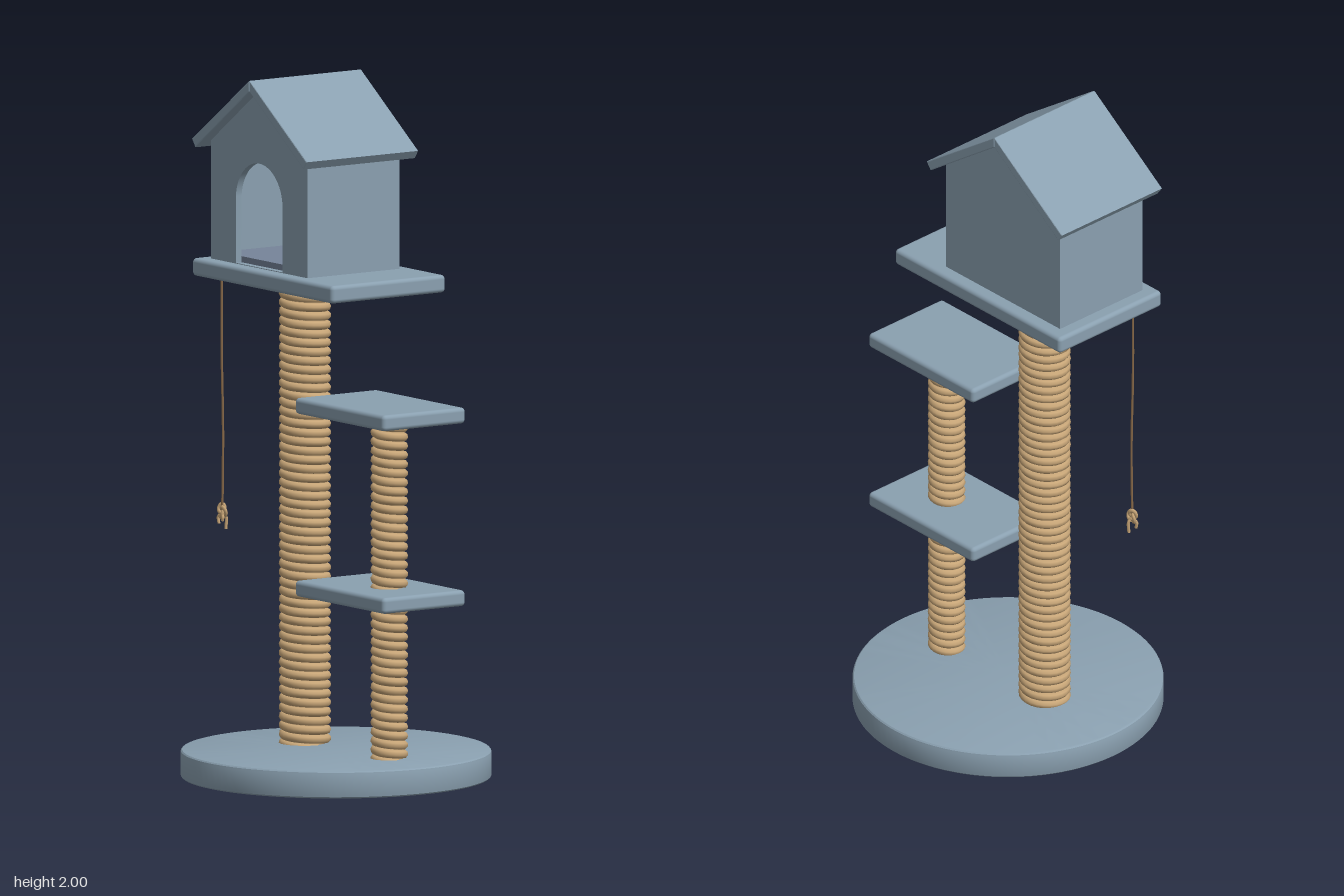
import * as THREE from 'three';
import { RoundedBoxGeometry } from 'three/addons/geometries/RoundedBoxGeometry.js';
import { toCreasedNormals } from 'three/addons/utils/BufferGeometryUtils.js';

const plush = new THREE.MeshStandardMaterial({ color: 0x8aa0b0 });
const lining = new THREE.MeshStandardMaterial({ color: 0x76849a });
const sisal = new THREE.MeshStandardMaterial({ color: 0xc8a678 });
const cordMat = new THREE.MeshStandardMaterial({ color: 0x8a6b4a });

// Rope wound round a post
class Helix extends THREE.Curve {
  constructor(radius, y0, y1, turns) {
    super();
    Object.assign(this, { radius, y0, y1, turns });
  }
  getPoint(t, out = new THREE.Vector3()) {
    const a = t * this.turns * Math.PI * 2;
    return out.set(Math.cos(a) * this.radius, THREE.MathUtils.lerp(this.y0, this.y1, t), Math.sin(a) * this.radius);
  }
}

export function createModel() {
  const model = new THREE.Group();
  model.name = 'catTree';

  function add(name, geometry, material, x = 0, y = 0, z = 0, parent = model) {
    const mesh = new THREE.Mesh(geometry, material);
    mesh.name = name;
    mesh.position.set(x, y, z);
    parent.add(mesh);
    return mesh;
  }

  // Board spanning x0..x1, y0..y1, z0..z1 with softened edges
  function board(name, x0, x1, y0, y1, z0, z1) {
    add(name, new RoundedBoxGeometry(x1 - x0, y1 - y0, z1 - z0, 3, 0.012), plush,
      (x0 + x1) / 2, (y0 + y1) / 2, (z0 + z1) / 2);
  }

  function post(name, x, z, radius, y0, y1) {
    const group = new THREE.Group();
    group.name = name;
    group.position.set(x, 0, z);
    model.add(group);
    const pitch = 0.026, wire = 0.013, turns = Math.round((y1 - y0) / pitch);
    add(name + 'Core', new THREE.CylinderGeometry(radius - wire, radius - wire, y1 - y0, 32), sisal, 0, (y0 + y1) / 2, 0, group);
    add(name + 'Rope', new THREE.TubeGeometry(new Helix(radius - wire, y0, y1, turns), turns * 24, wire, 8), sisal, 0, 0, 0, group);
  }

  // Round base with a small rounded rim
  const R = 0.443, b = 0.01, H = 0.08, rim = [new THREE.Vector2(0, 0)];
  for (const [cy, start] of [[b, -Math.PI / 2], [H - b, 0]]) {
    for (let i = 0; i <= 3; i++) {
      const a = start + i * Math.PI / 6;
      rim.push(new THREE.Vector2(R - b + Math.cos(a) * b, cy + Math.sin(a) * b));
    }
  }
  rim.push(new THREE.Vector2(0, H));
  add('base', toCreasedNormals(new THREE.LatheGeometry(rim, 96), 0.4), plush);

  // Posts and shelves
  post('tallPost', -0.153, 0, 0.075, 0.07, 1.415);
  post('shortPostLower', 0.237, -0.018, 0.054, 0.07, 0.535);
  post('shortPostUpper', 0.237, -0.018, 0.054, 0.56, 1.06);
  board('lowerShelf', -0.028, 0.412, 0.525, 0.571, -0.162, 0.126);
  board('upperShelf', -0.028, 0.412, 1.05, 1.096, -0.162, 0.126);
  board('topPlatform', -0.432, 0.26, 1.405, 1.456, -0.2, 0.198);

  // House: x is measured from the ridge line
  const house = new THREE.Group();
  house.name = 'house';
  house.position.x = -0.152;
  model.add(house);
  const W = 0.238, D = 0.16, T = 0.02, floor = 1.45, eave = 1.805, peak = 1.975;

  function gable() {
    const s = new THREE.Shape();
    s.moveTo(-W, floor);
    s.lineTo(W, floor);
    s.lineTo(W, eave);
    s.lineTo(0, peak);
    s.lineTo(-W, eave);
    s.closePath();
    return s;
  }
  const front = gable(), door = new THREE.Path();
  door.moveTo(-0.115, 1.458);
  door.lineTo(-0.115, 1.642);
  door.absarc(0, 1.642, 0.115, Math.PI, 0, true);
  door.lineTo(0.115, 1.458);
  door.closePath();
  front.holes.push(door);
  const wall = { depth: T, bevelEnabled: false, curveSegments: 24 };
  add('frontWall', toCreasedNormals(new THREE.ExtrudeGeometry(front, wall), 0.5), plush, 0, 0, D - T, house);
  add('backWall', new THREE.ExtrudeGeometry(gable(), wall), plush, 0, 0, -D, house);
  for (const s of [-1, 1]) {
    add(s < 0 ? 'rightWall' : 'leftWall', new THREE.BoxGeometry(T, eave - floor, 2 * (D - T)), plush,
      s * (W - T / 2), (eave + floor) / 2, 0, house);

    // Sloping roof panel, cut upright along the ridge
    const bevel = 0.003;
    const panel = new THREE.Shape([
      [0.003, 1.994], [0.279, 1.797], [0.266, 1.779], [0.003, 1.968],
    ].map(([x, y]) => new THREE.Vector2(s * x, y)));
    const geo = new THREE.ExtrudeGeometry(panel, { depth: 0.384, bevelThickness: bevel, bevelSize: bevel, bevelSegments: 2 });
    add(s < 0 ? 'rightRoof' : 'leftRoof', geo, plush, 0, 0, -0.192, house);
  }
  add('houseFloor', new THREE.BoxGeometry(2 * (W - T), 0.025, 2 * (D - T)), lining, 0, 1.463, 0, house);

  // Hanging toy: cord, knot and frayed ends
  const toy = new THREE.Group();
  toy.name = 'hangingToy';
  toy.position.set(-0.39, 0, 0.12);
  model.add(toy);
  const cord = new THREE.CatmullRomCurve3([
    [-0.003, 1.41, 0], [-0.002, 1.2, 0.001], [0.002, 0.95, -0.001], [0, 0.73, 0],
  ].map((p) => new THREE.Vector3(...p)));
  add('cord', new THREE.TubeGeometry(cord, 24, 0.0035, 6), cordMat, 0, 0, 0, toy);
  const knot = add('knot', new THREE.TorusKnotGeometry(0.011, 0.0055, 64, 6, 2, 3), sisal, 0, 0.727, 0, toy);
  knot.scale.set(1, 1.2, 0.9);
  for (const [dx, dz, low] of [[-0.014, 0.004, 0.69], [0.004, -0.01, 0.675], [0.013, 0.007, 0.7]]) {
    const end = new THREE.CatmullRomCurve3([
      new THREE.Vector3(0, 0.72, 0), new THREE.Vector3(dx, 0.71, dz), new THREE.Vector3(dx * 0.8, low, dz),
    ]);
    add('frayedEnd', new THREE.TubeGeometry(end, 8, 0.0045, 6), sisal, 0, 0, 0, toy);
  }
  return model;
}
